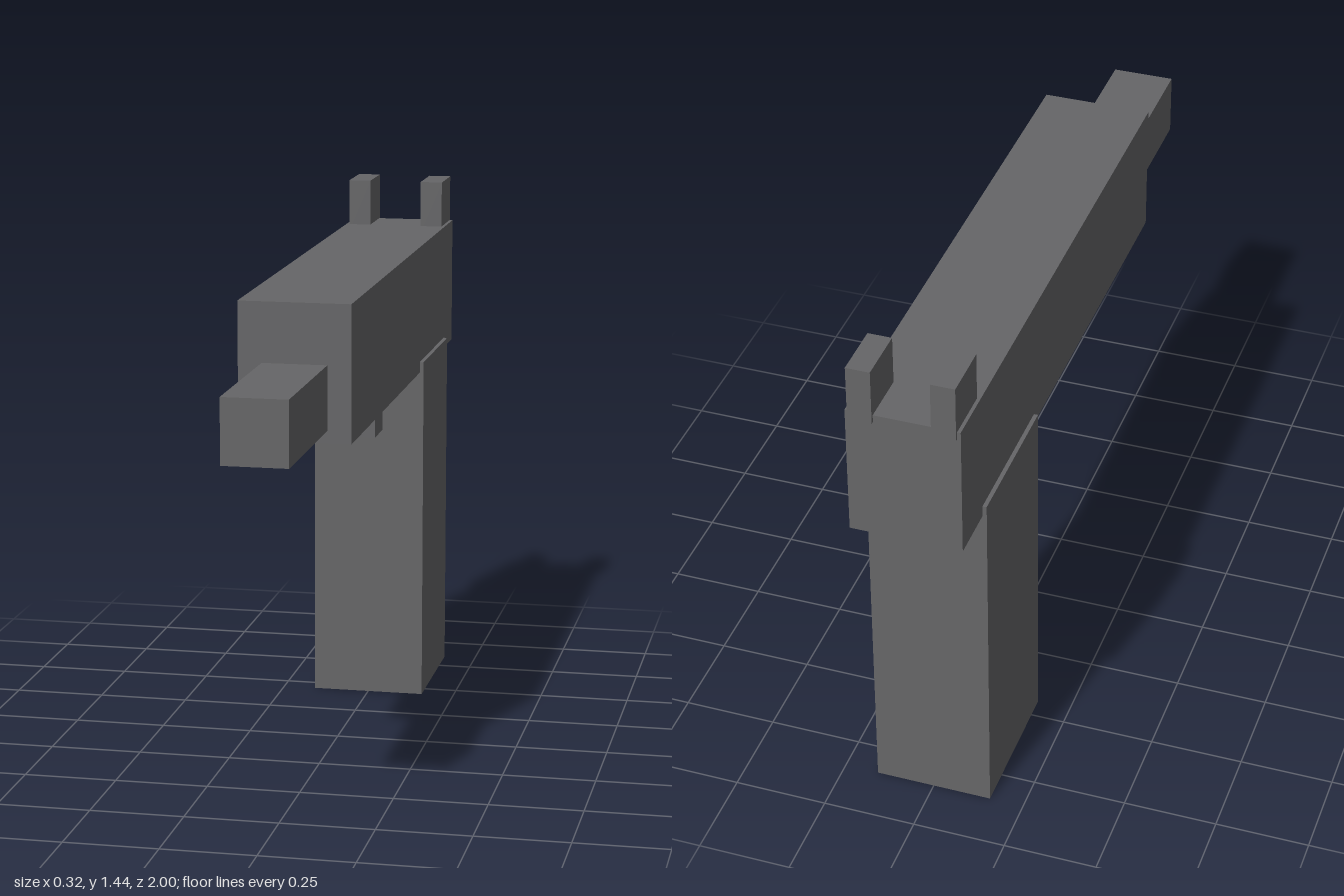
import * as THREE from 'three';

export function createModel() {
  const model = new THREE.Group();
  const darkGrey = new THREE.MeshStandardMaterial({ color: 0x666668 });
  darkGrey.name = 'darkGrey';

  // Adds a box given its extents along each axis
  function addBox(name, [x0, x1], [y0, y1], [z0, z1]) {
    const mesh = new THREE.Mesh(new THREE.BoxGeometry(x1 - x0, y1 - y0, z1 - z0), darkGrey);
    mesh.name = name;
    mesh.position.set((x0 + x1) / 2, (y0 + y1) / 2, (z0 + z1) / 2);
    model.add(mesh);
  }

  // Main body and the barrel projecting from its front
  addBox('body', [-0.147, 0.147], [0.95, 1.31], [-0.992, 0.549]);
  addBox('barrel', [-0.085, 0.085], [0.983, 1.152], [0.5, 1]);

  // Grip, slightly wider than the body, with the trigger ahead of it
  addBox('grip', [-0.158, 0.158], [0, 0.98], [-0.846, -0.445]);
  addBox('trigger', [-0.04, 0.04], [0.78, 0.97], [-0.47, -0.327]);

  // Pair of rear sights, overhanging the back of the body a little
  addBox('leftRearSight', [0.075, 0.138], [1.29, 1.44], [-1, -0.85]);
  addBox('rightRearSight', [-0.138, -0.075], [1.29, 1.44], [-1, -0.85]);

  return model;
}
